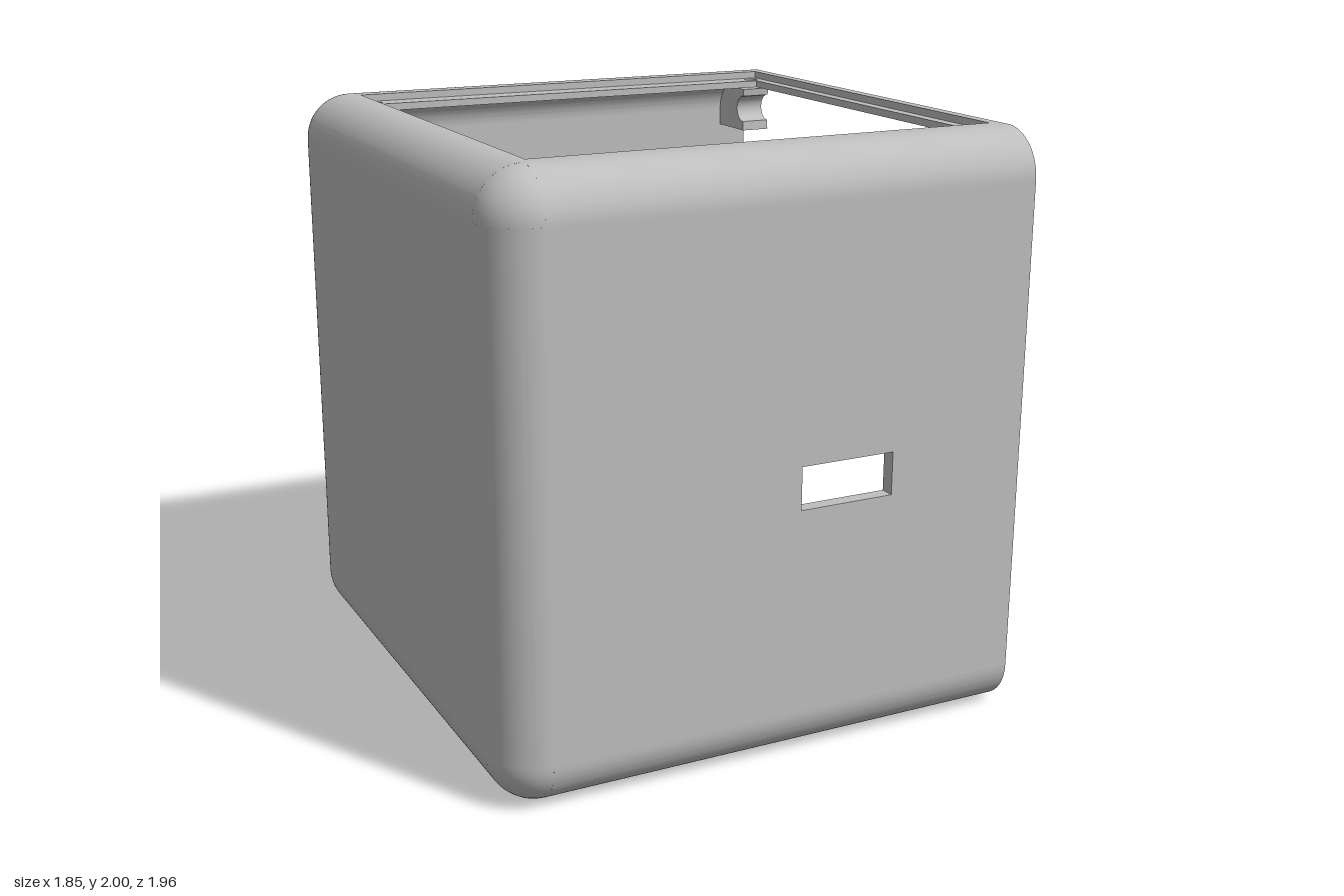
import * as THREE from 'three';
import { toCreasedNormals } from 'three/addons/utils/BufferGeometryUtils.js';

const X = 0.925, H = 2, Z = 0.98;      // half width, height, half depth
const R = 0.16, T = 0.05;              // corner radius, wall thickness
const X0 = -X + R, YC = H / 2 - R, ZC = Z - R;

const grey = new THREE.MeshStandardMaterial({ color: 0xbfbfbf });
grey.name = 'light grey';

function add(group, name, geometry) {
  const mesh = new THREE.Mesh(geometry, grey);
  mesh.name = name;
  group.add(mesh);
  return mesh;
}

function rect(Type, x1, y1, x2, y2) {
  return new Type([[x1, y1], [x2, y1], [x2, y2], [x1, y2]].map(p => new THREE.Vector2(...p)));
}

function circle(x, y, r) {
  const path = new THREE.Path();
  path.absarc(x, y, r, 0, Math.PI * 2);
  return path;
}

function slab(shape, depth, holes = []) {
  shape.holes.push(...holes);
  return new THREE.ExtrudeGeometry(shape, { depth, bevelEnabled: false, curveSegments: 16 });
}

// Horizontal slab drawn in x and z, hanging down from yTop
function flatSlab(shape, yTop, depth, holes) {
  return slab(shape, depth, holes).rotateX(Math.PI / 2).translate(0, yTop, 0);
}

// Quarter of a tube wall, starting at angle a, extruded along z
function quarterWall(a, length) {
  const shape = new THREE.Shape();
  shape.absarc(0, 0, R, a, a + Math.PI / 2, false);
  shape.absarc(0, 0, R - T, a + Math.PI / 2, a, true);
  const g = new THREE.ExtrudeGeometry(shape, { depth: length, bevelEnabled: false, curveSegments: 14 });
  return toCreasedNormals(g, 0.5);
}

// Eighth of a hollow ball
function cornerShell() {
  const pts = [], n = 14;
  for (let i = 0; i <= n; i++) {
    const a = i / n * Math.PI / 2;
    pts.push(new THREE.Vector2(R * Math.cos(a), R * Math.sin(a)));
  }
  for (let i = n; i >= 0; i--) {
    const a = i / n * Math.PI / 2, r = R - T;
    pts.push(new THREE.Vector2(r * Math.cos(a), r * Math.sin(a)));
  }
  return toCreasedNormals(new THREE.LatheGeometry(pts, 14, Math.PI, Math.PI / 2), 0.5);
}

// Corner lug with a round screw notch, at the open end
function lug(side, yLow, yHigh, yNotch) {
  const inner = 0.735, r = 0.05, depth = 0.11;
  const pts = [[0.935, yLow], [inner, yLow]];
  for (let i = 0; i <= 14; i++) {
    const a = -Math.PI / 2 + i / 14 * Math.PI;
    pts.push([inner + 0.003 + r * Math.cos(a), yNotch + r * Math.sin(a)]);
  }
  pts.push([inner, yHigh], [0.935, yHigh]);
  const shape = new THREE.Shape(pts.map(([z, y]) => new THREE.Vector2(-z * side, y)));
  return toCreasedNormals(slab(shape, depth).rotateY(Math.PI / 2).translate(X - depth, 0, 0), 0.5);
}

export function createModel() {
  const model = new THREE.Group();
  model.name = 'openBoxHousing';

  // Flat walls; front and back have a slot
  for (const [name, z] of [['frontWall', Z - T], ['backWall', -Z]]) {
    const wall = rect(THREE.Shape, X0, R, X, H - R);
    const slot = rect(THREE.Path, 0.09, 0.86, 0.425, 1.005);
    add(model, name, slab(wall, T, [slot]).translate(0, 0, z));
  }
  add(model, 'endWall', new THREE.BoxGeometry(T, 2 * YC, 2 * ZC)).position.set(-X + T / 2, H / 2, 0);
  add(model, 'floor', flatSlab(rect(THREE.Shape, X0, -ZC, X, ZC), T, T));

  // Top frame: upper rim around a recess, then a ledge with screw holes
  const recess = 0.025;
  add(model, 'topRim', flatSlab(rect(THREE.Shape, X0, -ZC, X, ZC), H, recess,
    [rect(THREE.Path, -0.74, -0.772, 0.885, 0.772)]));
  const holes = [rect(THREE.Path, -0.7, -0.688, 0.845, 0.688)];
  for (const x of [-0.7, 0.843]) {
    for (const z of [-0.731, 0.731]) holes.push(circle(x, z, 0.025));
  }
  add(model, 'topLedge', flatSlab(rect(THREE.Shape, X0, -ZC, X, ZC), H - recess, T - recess, holes));

  // Rounded edges and corners, turned around the x axis
  const signs = [[1, -1], [1, 1], [-1, 1], [-1, -1]];
  signs.forEach(([sy, sz], k) => {
    const turn = k * Math.PI / 2;
    const long = add(model, 'longEdge', quarterWall(0, X - X0).rotateY(Math.PI / 2));
    long.position.set(X0, H / 2 + sy * YC, sz * ZC);
    long.rotation.x = turn;

    const corner = add(model, 'roundCorner', cornerShell());
    corner.position.set(X0, H / 2 + sy * YC, sz * ZC);
    corner.rotation.x = turn;

    const length = k % 2 ? 2 * YC : 2 * ZC;
    const end = add(model, 'endEdge', quarterWall(Math.PI / 2, length).translate(0, 0, -length / 2));
    end.position.set(X0, H / 2 + [YC, 0, -YC, 0][k], [0, ZC, 0, -ZC][k]);
    end.rotation.x = turn;
  });

  // Lugs at the open end and drilled mounting tabs along both walls
  for (const side of [-1, 1]) {
    add(model, 'lowerLug', lug(side, 0.11, 0.277, 0.187));
    add(model, 'upperLug', lug(side, 1.775, 1.937, 1.86));
    for (const x of [-0.28, 0.79]) {
      const z1 = side * 0.74, z2 = side * 0.94;
      const tab = rect(THREE.Shape, x - 0.095, Math.min(z1, z2), x + 0.095, Math.max(z1, z2));
      add(model, 'mountingTab', flatSlab(tab, 0.31, 0.035, [circle(x, side * 0.835, 0.025)]));
    }
  }
  return model;
}
